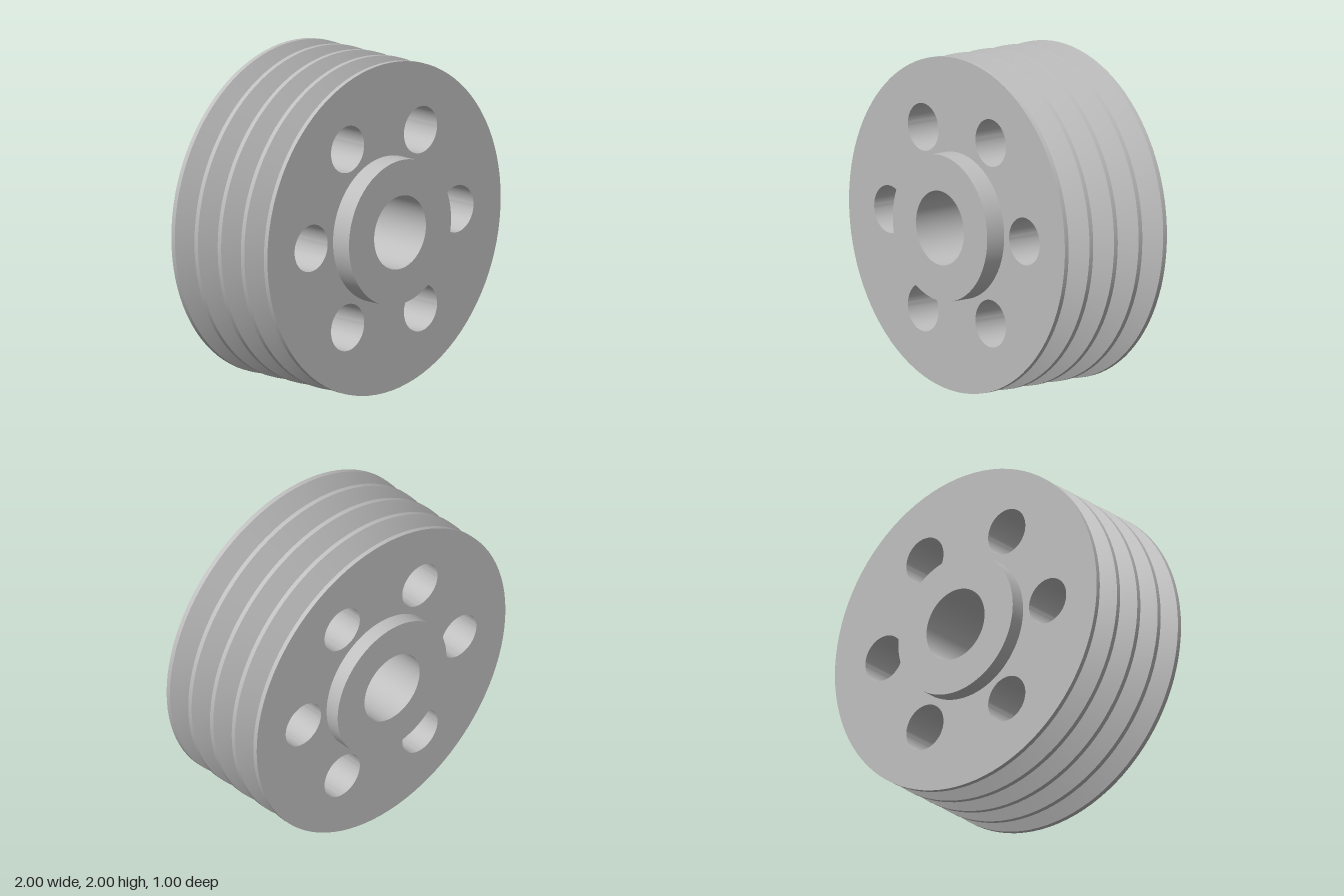
import * as THREE from 'three';
import { toCreasedNormals } from 'three/addons/utils/BufferGeometryUtils.js';

const SEGMENTS = 96;
const FRONT = 0.371, BACK = -0.405;          // side faces of the wheel
const RIM_R = 1, GROOVE_R = 0.845;
const HUB_R = 0.4375, BORE_R = 0.222, HUB_Z = 0.5;
const HOLE_R = 0.142, HOLE_RING = 0.625, HOLES = 6;
const GROOVES = 4, LAND = 0.0285, FLOOR = 0.031;

export function createModel() {
  const model = new THREE.Group();
  model.name = 'grooveWheel';
  const steel = new THREE.MeshStandardMaterial({ color: 0xbfbfbf });
  steel.name = 'grey steel';

  const wheel = new THREE.Group();
  wheel.name = 'wheel';
  wheel.position.y = RIM_R;
  model.add(wheel);

  const add = (name, geometry) => {
    const mesh = new THREE.Mesh(geometry, steel);
    mesh.name = name;
    wheel.add(mesh);
    return mesh;
  };

  // Turned part about the z axis; profile is [radius, z], z rising on outer walls
  const turn = (profile) => {
    const points = profile.map(([r, z]) => new THREE.Vector2(r, z));
    const geometry = new THREE.LatheGeometry(points, SEGMENTS).rotateX(Math.PI / 2);
    return toCreasedNormals(geometry, 0.3);
  };

  // Rim with V grooves, from back to front
  const pitch = (FRONT - BACK - LAND) / GROOVES;
  const slope = (pitch - LAND - FLOOR) / 2;
  const rim = [];
  for (let i = 0; i <= GROOVES; i++) {
    const z = BACK + i * pitch;
    rim.push([RIM_R, z], [RIM_R, z + LAND]);
    if (i < GROOVES) {
      rim.push([GROOVE_R, z + LAND + slope], [GROOVE_R, z + LAND + slope + FLOOR]);
    }
  }
  add('groovedRim', turn(rim));

  // Hub with a through bore
  add('hub', turn([
    [BORE_R, -HUB_Z], [HUB_R, -HUB_Z], [HUB_R, HUB_Z], [BORE_R, HUB_Z], [BORE_R, -HUB_Z],
  ]));

  // Side faces with the ring of holes, and a liner wall for every hole
  const disc = new THREE.Shape().absarc(0, 0, RIM_R, 0, Math.PI * 2, false);
  const cut = (x, y, r) => disc.holes.push(new THREE.Path().absarc(x, y, r, 0, Math.PI * 2, true));
  cut(0, 0, HUB_R);
  const liner = turn([[HOLE_R, FRONT], [HOLE_R, BACK]]);
  for (let i = 0; i < HOLES; i++) {
    const a = (i / HOLES) * Math.PI * 2;
    const x = HOLE_RING * Math.cos(a), y = HOLE_RING * Math.sin(a);
    cut(x, y, HOLE_R);
    add('holeWall', liner).position.set(x, y, 0);
  }
  const face = new THREE.ShapeGeometry(disc, SEGMENTS / 2);
  add('frontFace', face).position.z = FRONT;
  const backFace = add('backFace', face);
  backFace.position.z = BACK;
  backFace.rotation.y = Math.PI;

  return model;
}
